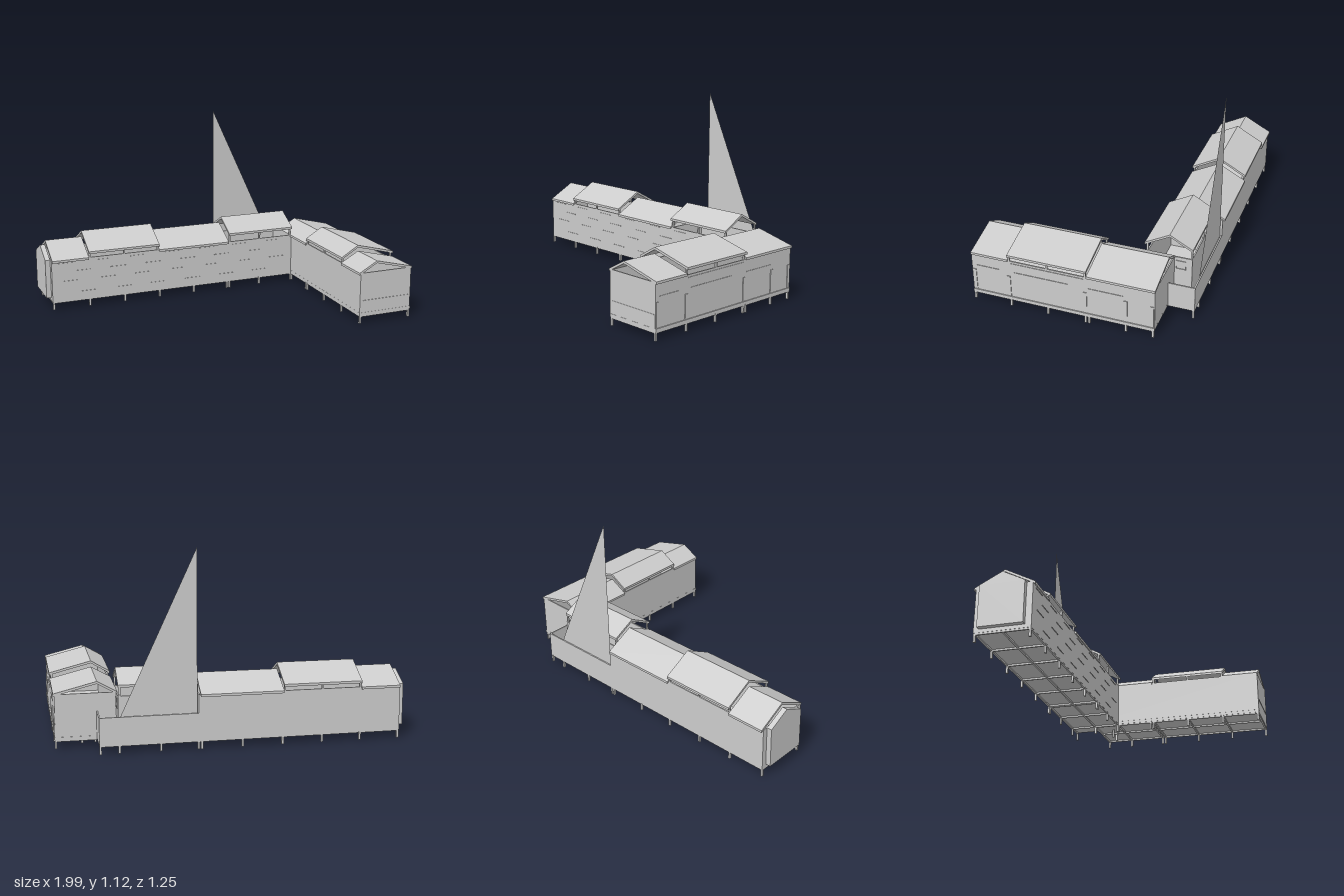
import * as THREE from 'three';

const grey = new THREE.MeshStandardMaterial({ color: 0xcccccc, side: THREE.DoubleSide });
grey.name = 'plain grey';

export function createModel() {
  const model = new THREE.Group();
  model.name = 'raisedLongHouse';

  const add = (name, geometry) => {
    const mesh = new THREE.Mesh(geometry, grey);
    mesh.name = name;
    model.add(mesh);
    return mesh;
  };

  // Box from its lower and upper limits
  const box = (name, x0, x1, y0, y1, z0, z1) => {
    const g = new THREE.BoxGeometry(x1 - x0, y1 - y0, z1 - z0);
    g.translate((x0 + x1) / 2, (y0 + y1) / 2, (z0 + z1) / 2);
    return add(name, g);
  };

  // Cross-section extruded along x (points are [z, y]) or along z (points are [x, y])
  const prism = (name, axis, from, to, points) => {
    const sign = axis === 'x' ? -1 : 1;
    const shape = new THREE.Shape(points.map(([p, y]) => new THREE.Vector2(sign * p, y)));
    const g = new THREE.ExtrudeGeometry(shape, { depth: to - from, bevelEnabled: false });
    g.translate(0, 0, from);
    if (axis === 'x') g.rotateY(Math.PI / 2);
    return add(name, g);
  };

  // Folded roof slab with open gables: [low edge, ridge, high edge]
  const roof = (name, axis, from, to, [a, r, b], t = 0.014) =>
    prism(name, axis, from, to, [a, r, b, [b[0], b[1] - t], [r[0], r[1] - t], [a[0], a[1] - t]]);

  const T = 0.008;

  // Decks of the long wing and the side wing
  box('longDeck', -0.97, 0.75, 0.05, 0.067, -0.615, -0.295);
  box('sideDeck', 0.64, 0.985, 0.05, 0.0665, -0.46, 0.62);

  // Long wing walls
  box('longFrontWall', -0.97, 0.64, 0.067, 0.31, -0.303, -0.295);
  box('longBackWall', -0.97, 0.2, 0.067, 0.31, -0.615, -0.607);
  box('longEndWall', -0.97, -0.97 + T, 0.067, 0.31, -0.607, -0.303);
  box('crossWall', 0.192, 0.2, 0.067, 0.31, -0.607, -0.303);
  box('hallBackWall', 0.2, 0.64, 0.067, 0.31, -0.563, -0.555);
  box('hallEndWall', 0.632, 0.64, 0.067, 0.31, -0.555, -0.303);

  // Terrace parapet behind the hall
  box('terraceBackParapet', 0.2, 0.75, 0.067, 0.205, -0.615, -0.607);
  box('terraceEndParapet', 0.742, 0.75, 0.067, 0.205, -0.607, -0.46);

  // Hall end window frame
  for (const [y0, y1, z0, z1] of [
    [0.232, 0.236, -0.527, -0.468], [0.284, 0.288, -0.527, -0.468],
    [0.236, 0.284, -0.527, -0.523], [0.236, 0.284, -0.472, -0.468],
  ]) box('hallWindowFrame', 0.64, 0.644, y0, y1, z0, z1);

  // Side wing walls
  box('sideFrontWall', 0.64, 0.98, 0.067, 0.31, 0.612, 0.62);
  box('sideBackWall', 0.64, 0.98, 0.067, 0.31, -0.46, -0.452);
  box('sideRightWall', 0.64, 0.64 + T, 0.067, 0.31, -0.452, 0.612);
  box('sideLeftWall', 0.972, 0.98, 0.067, 0.305, -0.452, 0.612);

  // End bay with a peaked top
  prism('endBay', 'x', -1, -0.97,
    [[-0.585, 0.07], [-0.33, 0.07], [-0.33, 0.31], [-0.4575, 0.375], [-0.585, 0.31]]);

  // Long wing roofs, alternating low and raised
  const low = [[-0.627, 0.312], [-0.457, 0.402], [-0.285, 0.312]];
  const high = [[-0.627, 0.348], [-0.457, 0.44], [-0.285, 0.348]];
  roof('lowRoofWest', 'x', -0.967, -0.738, low);
  roof('raisedRoofWest', 'x', -0.738, -0.283, high);
  roof('lowRoofMiddle', 'x', -0.283, 0.19, low);
  roof('raisedRoofHall', 'x', 0.193, 0.64, [[-0.565, 0.372], [-0.43, 0.445], [-0.285, 0.366]]);

  // Side wing roofs, with an uneven pitch
  const sideLow = [[0.632, 0.312], [0.745, 0.375], [0.987, 0.315]];
  const sideHigh = [[0.636, 0.345], [0.745, 0.41], [0.99, 0.348]];
  roof('sideLowRoofBack', 'z', -0.463, -0.07, sideLow);
  roof('sideRaisedRoof', 'z', -0.07, 0.397, sideHigh);
  roof('sideLowRoofFront', 'z', 0.397, 0.62, sideLow);

  // Short struts holding the raised roofs
  for (const x of [-0.732, -0.51, -0.29]) {
    for (const z of [-0.61, -0.3]) box('roofStrut', x - 0.005, x + 0.005, 0.3, 0.342, z - 0.005, z + 0.005);
  }
  for (const x of [0.2, 0.41, 0.63]) {
    for (const z of [-0.558, -0.3]) box('hallStrut', x - 0.005, x + 0.005, 0.3, 0.36, z - 0.005, z + 0.005);
  }
  for (const z of [-0.06, 0.165, 0.39]) {
    for (const x of [0.645, 0.975]) box('sideStrut', x - 0.005, x + 0.005, 0.3, 0.34, z - 0.005, z + 0.005);
  }

  // Tall thin triangular sail on the terrace edge
  const sail = new THREE.ShapeGeometry(new THREE.Shape([
    new THREE.Vector2(0.207, 0.2), new THREE.Vector2(0.635, 0.2), new THREE.Vector2(0.207, 1.12),
  ]));
  sail.translate(0, 0, -0.604);
  add('sail', sail);

  // Posts and cross beams under the decks
  const post = (x, z) => box('post', x - 0.006, x + 0.006, 0, 0.05, z - 0.006, z + 0.006);
  for (const x of [-0.963, -0.735, -0.51, -0.28, -0.05, 0.182, 0.2, 0.41, 0.64]) {
    for (const z of [-0.607, -0.301]) post(x, z);
    box('crossBeam', x - 0.005, x + 0.005, 0.04, 0.05, -0.607, -0.301);
  }
  for (const z of [0.613, 0.39, 0.165, -0.06, -0.08, -0.295, -0.45]) {
    for (const x of [0.647, 0.976]) post(x, z);
    box('sideCrossBeam', 0.647, 0.976, 0.04, 0.05, z - 0.005, z + 0.005);
  }
  post(0.744, -0.607);
  post(0.75, -0.36);
  post(0.825, -0.36);
  for (const z of [-0.607, -0.454, -0.301]) box('longBeam', -0.963, 0.744, 0.041, 0.05, z - 0.005, z + 0.005);
  for (const x of [0.647, 0.81, 0.976]) box('sideBeam', x - 0.005, x + 0.005, 0.041, 0.05, -0.45, 0.613);

  // Thin horizontal slats on the walls
  for (const [y, shift] of [[0.29, 0], [0.235, 0.1], [0.175, 0.03], [0.1, 0.13]]) {
    for (let x = -0.93 + shift; x < 0.5; x += 0.23) {
      box('frontSlat', x, x + 0.1, y - 0.002, y + 0.002, -0.295, -0.292);
    }
  }
  for (const [y, z0, z1] of [[0.29, -0.05, 0.38], [0.233, 0.04, 0.36], [0.233, 0.45, 0.59], [0.233, -0.28, -0.08]]) {
    box('sideSlat', 0.98, 0.983, y - 0.002, y + 0.002, z0, z1);
  }
  box('sideFrontSlat', 0.66, 0.97, 0.138, 0.142, 0.62, 0.623);

  // Narrow door jambs along the outer side wall
  for (const z of [0.605, 0.395, -0.06, -0.295, -0.445]) {
    box('doorJamb', 0.98, 0.984, 0.07, 0.205, z - 0.01, z + 0.01);
  }

  return model;
}
